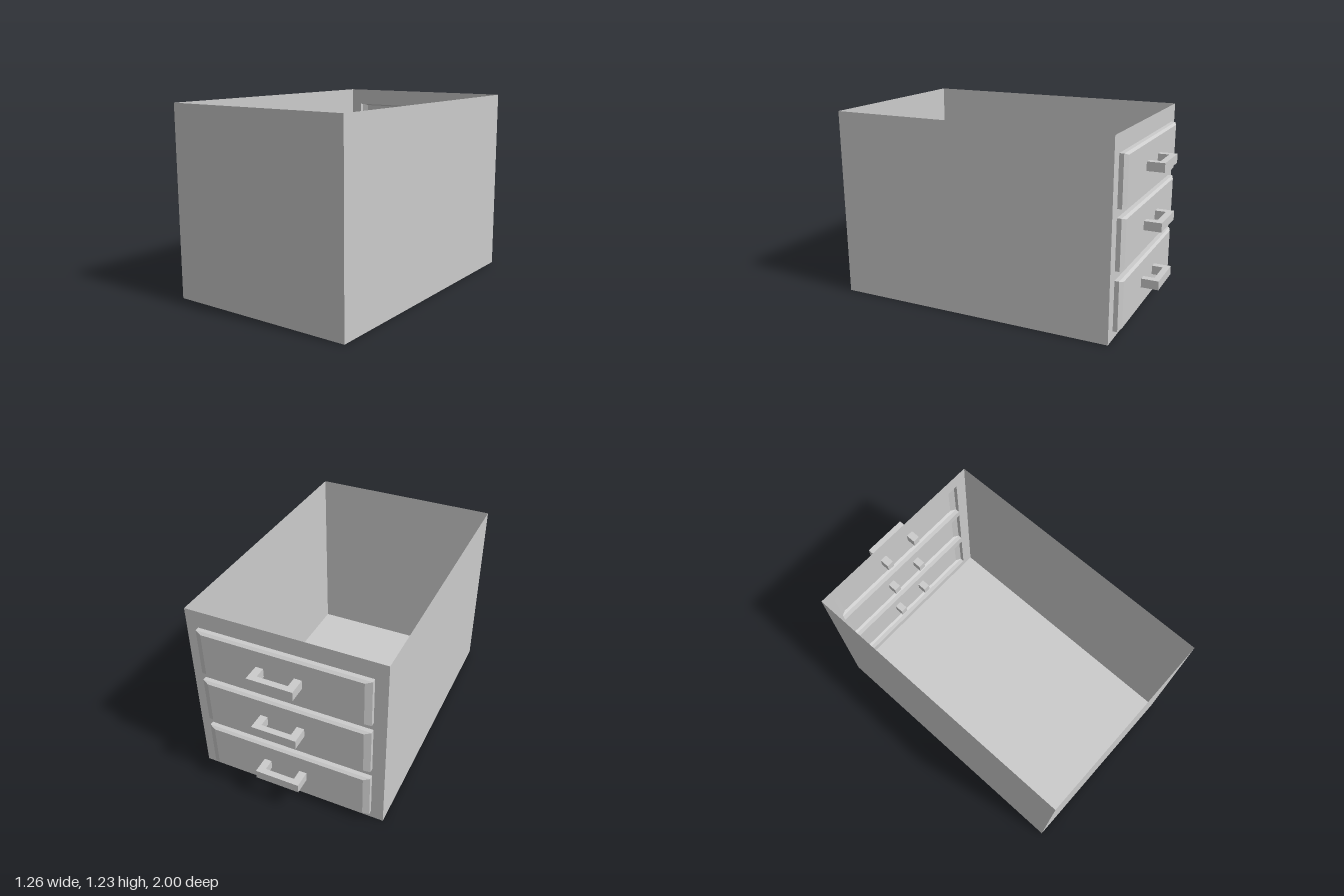
import * as THREE from 'three';

const W = 0.63, H = 1.228, FRONT = 1, BACK = -0.845;
const DRAWER_W = 0.55, DRAWER_H = 0.158;
const DRAWER_Y = [0.212, 0.587, 0.957];

const grey = new THREE.MeshStandardMaterial({ color: 0xcccccc, flatShading: true, side: THREE.DoubleSide });

function add(parent, name, geometry) {
  const mesh = new THREE.Mesh(geometry, grey);
  mesh.name = name;
  parent.add(mesh);
  return mesh;
}

// Rectangle outline, counter-clockwise
function rect(hw, y, hh) {
  return [[-hw, y - hh], [hw, y - hh], [hw, y + hh], [-hw, y + hh]];
}

// Hollow drawer front: straight rim, bevel, flat face
function drawerGeometry() {
  const rings = [
    { w: DRAWER_W, h: DRAWER_H, z: BACK },
    { w: DRAWER_W, h: DRAWER_H, z: -0.873 },
    { w: DRAWER_W - 0.04, h: DRAWER_H - 0.012, z: -0.889 },
  ].map(r => rect(r.w, 0, r.h).map(([x, y]) => [x, y, r.z]));
  const pos = [];
  for (let k = 0; k < rings.length - 1; k++) {
    for (let i = 0; i < 4; i++) {
      const j = (i + 1) % 4, a = rings[k], b = rings[k + 1];
      pos.push(...a[i], ...b[i], ...b[j], ...a[i], ...b[j], ...a[j]);
    }
  }
  const f = rings[rings.length - 1];
  pos.push(...f[0], ...f[2], ...f[1], ...f[0], ...f[3], ...f[2]);
  const g = new THREE.BufferGeometry();
  g.setAttribute('position', new THREE.Float32BufferAttribute(pos, 3));
  g.computeVertexNormals();
  return g;
}

// Square U-shaped pull whose legs run through the drawer face
function handleGeometry() {
  const outline = [
    [-0.135, 0.825], [-0.087, 0.825], [-0.087, 0.96], [0.108, 0.96],
    [0.108, 0.825], [0.156, 0.825], [0.156, 1], [-0.135, 1],
  ].map(p => new THREE.Vector2(...p));
  return new THREE.ExtrudeGeometry(new THREE.Shape(outline), { depth: 0.058, bevelEnabled: false })
    .rotateX(-Math.PI / 2).translate(0, -0.029, 0);
}

export function createModel() {
  const model = new THREE.Group();
  model.name = 'openDrawerCabinet';
  const depth = FRONT - BACK, midZ = (FRONT + BACK) / 2;

  // Open-topped thin case
  const shell = new THREE.Group();
  shell.name = 'case';
  model.add(shell);
  add(shell, 'bottomPanel', new THREE.PlaneGeometry(2 * W, depth).rotateX(Math.PI / 2).translate(0, 0, midZ));
  add(shell, 'plainEndPanel', new THREE.PlaneGeometry(2 * W, H).translate(0, H / 2, FRONT));
  for (const s of [-1, 1]) {
    add(shell, s > 0 ? 'leftPanel' : 'rightPanel',
      new THREE.PlaneGeometry(depth, H).rotateY(s * Math.PI / 2).translate(s * W, H / 2, midZ));
  }

  // Drawer end with three openings
  const toPoints = list => list.map(p => new THREE.Vector2(...p));
  const frame = new THREE.Shape(toPoints(rect(W, H / 2, H / 2)));
  for (const y of DRAWER_Y) frame.holes.push(new THREE.Path(toPoints(rect(DRAWER_W, y, DRAWER_H))));
  add(shell, 'drawerFrame', new THREE.ShapeGeometry(frame).rotateY(Math.PI).translate(0, 0, BACK));

  // Drawers and their handles
  const faceGeo = drawerGeometry(), handleGeo = handleGeometry();
  DRAWER_Y.forEach((y, i) => {
    const drawer = new THREE.Group();
    drawer.name = `drawer${i + 1}`;
    drawer.position.y = y;
    add(drawer, 'drawerFront', faceGeo);
    add(drawer, 'handle', handleGeo).position.y = 0.005;
    model.add(drawer);
  });
  return model;
}
